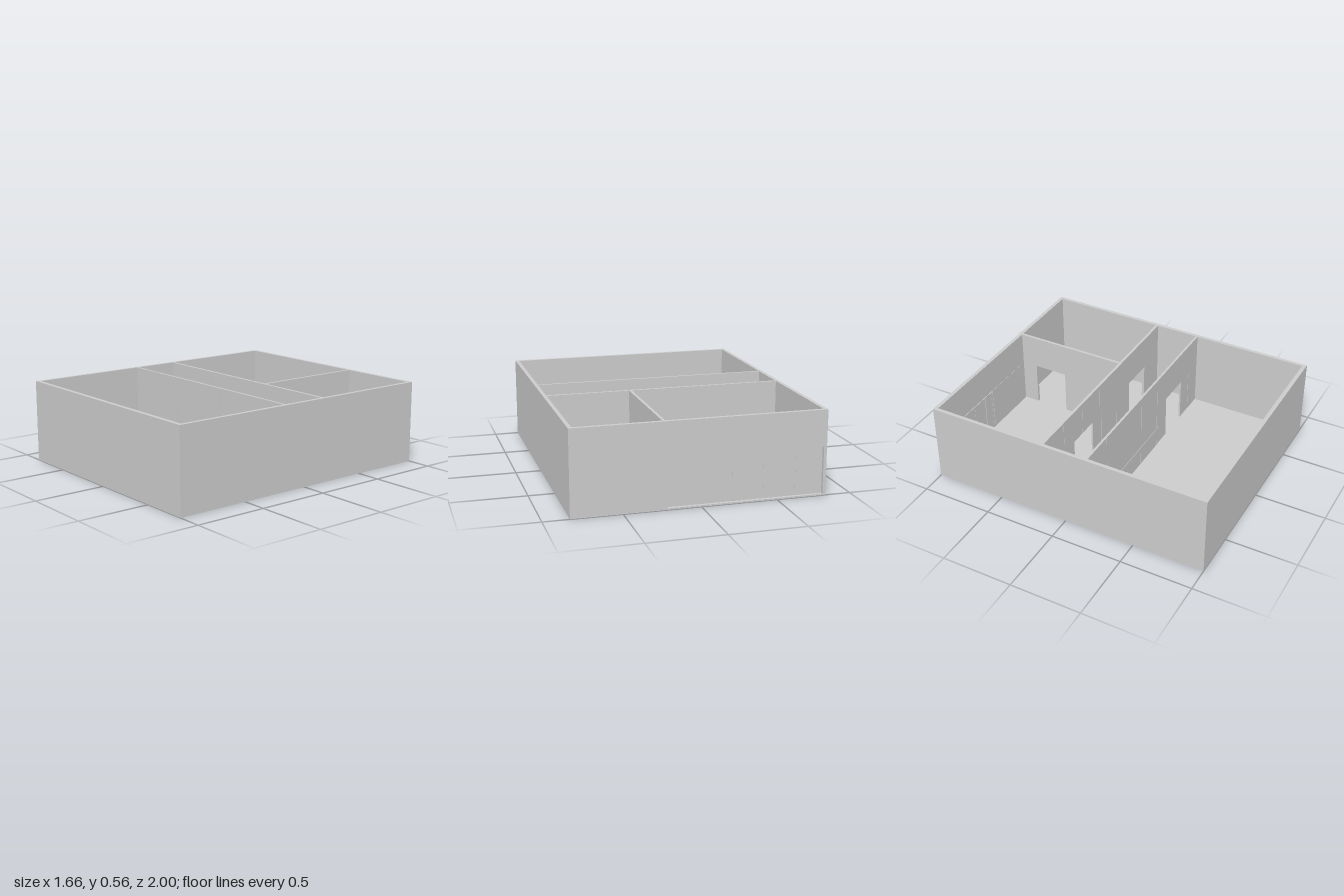
import * as THREE from 'three';

const material = new THREE.MeshStandardMaterial({ color: 0xcccccc, flatShading: true });
const X = 0.83, Z = 1, H = 0.565, FLOOR = 0.01, DOOR = 0.325;

export function createModel() {
  const model = new THREE.Group();

  const add = (name, geometry) => {
    const mesh = new THREE.Mesh(geometry, material);
    mesh.name = name;
    model.add(mesh);
    return mesh;
  };

  // Box given by its lower and upper corners
  const box = (name, x0, x1, y0, y1, z0, z1) =>
    add(name, new THREE.BoxGeometry(x1 - x0, y1 - y0, z1 - z0)
      .translate((x0 + x1) / 2, (y0 + y1) / 2, (z0 + z1) / 2));

  // Upright wall along x, from z0 to z1, with [from, to] door openings
  const wallGeometry = (a, b, z0, z1, openings = []) => {
    const shape = new THREE.Shape();
    shape.moveTo(a, 0).lineTo(b, 0).lineTo(b, H).lineTo(a, H).closePath();
    for (const [p, q] of openings) {
      const hole = new THREE.Path();
      hole.moveTo(p, FLOOR).lineTo(p, DOOR).lineTo(q, DOOR).lineTo(q, FLOOR).closePath();
      shape.holes.push(hole);
    }
    return new THREE.ExtrudeGeometry(shape, { depth: z1 - z0, bevelEnabled: false }).translate(0, 0, z0);
  };

  // Floor and outer walls
  box('floor', -X, X, 0, FLOOR, -Z, Z);
  box('frontWall', -X, X, 0, H, 0.972, Z);
  for (const s of [-1, 1]) {
    const wall = box('sideWall', -0.0125, 0.0125, 0, H, -0.975, 0.972);
    wall.position.x = s * (X - 0.0125);
  }
  add('backWall', wallGeometry(-X, X, -Z, -0.975, [[-0.81, 0.215]]));

  // Recessed panels closing the wide back opening
  const seams = [-0.81, -0.628, -0.533, -0.414, -0.295, -0.209, 0.215];
  for (let i = 0; i < seams.length - 1; i++) {
    const step = (i % 2) * 0.0015;
    box('backPanel', seams[i], seams[i + 1], FLOOR, DOOR, -0.979 + step, -0.9745 + step);
  }
  // Inner frame around the middle of the back opening
  for (const x of [-0.612, -0.285, -0.19]) {
    box('innerFramePost', x - 0.004, x + 0.004, FLOOR, DOOR, -0.975, -0.97);
  }
  box('innerFrameHead', -0.616, -0.186, DOOR - 0.005, DOOR, -0.975, -0.97);

  // Corridor walls, each with a doorway between two side panels
  add('rearCorridorWall', wallGeometry(-0.805, 0.805, -0.175, -0.156, [[-0.545, -0.055], [0.35, 0.59]]));
  add('frontCorridorWall', wallGeometry(-0.805, 0.805, 0.15, 0.166, [[0.19, 0.67]]));
  for (const [a, b, z] of [[-0.545, -0.055, -0.1655], [0.19, 0.67, 0.158]]) {
    box('doorSidePanel', a, a + 0.12, FLOOR, DOOR, z - 0.006, z + 0.006);
    box('doorSidePanel', b - 0.12, b, FLOOR, DOOR, z - 0.006, z + 0.006);
  }

  // Wall of the small back room, with its doorway
  const divider = add('roomDivider', wallGeometry(0.165, 0.985, 0.228, 0.247, [[0.62, 0.863]]));
  // Turn the wall so that its length runs towards the back
  divider.geometry.applyMatrix4(new THREE.Matrix4().makeBasis(
    new THREE.Vector3(0, 0, -1), new THREE.Vector3(0, 1, 0), new THREE.Vector3(1, 0, 0)));

  // Seam strips between the wall panels
  for (const [z, last] of [[0.166, 5], [-0.156, 5]]) {
    for (let i = 0; i < last; i++) {
      const x = -0.798 + i * 0.24;
      if (z < 0 && x > -0.545 && x < -0.055) {
        box('panelSeam', x - 0.002, x + 0.002, DOOR, H, z, z + 0.002);
      } else {
        box('panelSeam', x - 0.002, x + 0.002, FLOOR, H, z, z + 0.002);
      }
    }
  }

  // Low rails beside the doorways
  box('frontRail', -0.805, 0.19, 0.15, 0.156, 0.166, 0.169);
  box('rearRail', -0.055, 0.228, 0.15, 0.156, -0.178, -0.175);

  return model;
}
